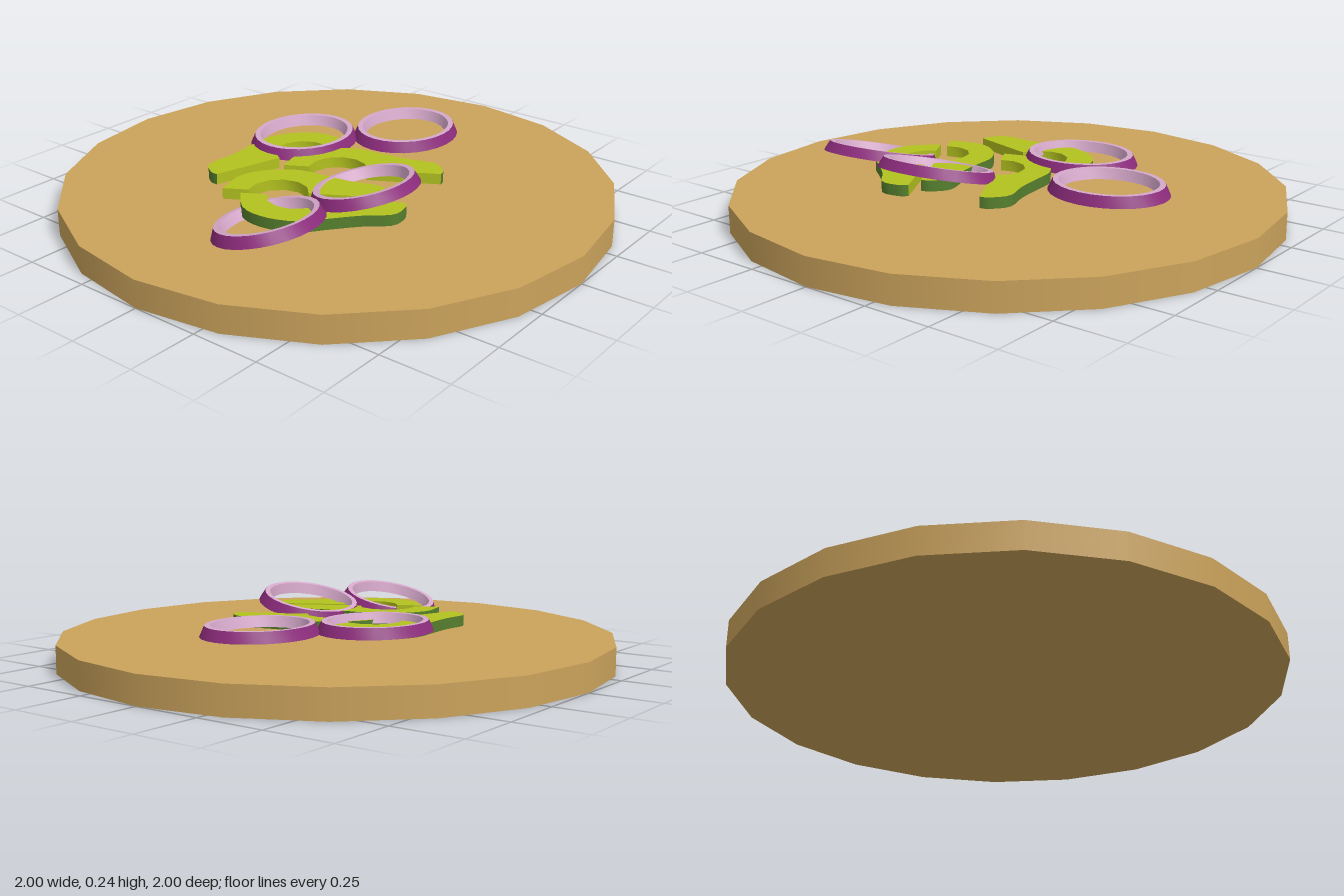
import * as THREE from 'three';
import { toCreasedNormals } from 'three/addons/utils/BufferGeometryUtils.js';

const material = (name, color, side = THREE.FrontSide) => {
  const m = new THREE.MeshStandardMaterial({ color, side });
  m.name = name;
  return m;
};
const rad = THREE.MathUtils.degToRad;

// Hooked pepper strip: curved skin edge, straight cut ends, round hollow inside
function pepperGeometry(mirror) {
  const inner = 0.105;
  const shape = new THREE.Shape();
  shape.moveTo(0.37, 0);
  shape.splineThru([
    [0.375, 0.035], [0.34, 0.1], [0.235, 0.125], [0.13, 0.165],
    [0.04, 0.198], [-0.07, 0.184], [-0.16, 0.12], [-0.197, 0],
  ].map(([x, y]) => new THREE.Vector2(x, y)));
  shape.lineTo(-inner, 0);
  shape.absarc(0, 0, inner, Math.PI, 0, true);
  const points = shape.getPoints(3).map((p) => new THREE.Vector2(p.x, mirror * p.y));

  let geo = new THREE.ExtrudeGeometry(new THREE.Shape(points), { depth: 0.04, bevelEnabled: false });
  geo.rotateX(-Math.PI / 2);
  geo = toCreasedNormals(geo, rad(40));

  // Upright faces on the outer curve get the skin, all others the flesh
  const pos = geo.attributes.position;
  geo.clearGroups();
  for (let i = 0; i < pos.count; i += 3) {
    let radius = 0, offset = 0;
    for (let k = i; k < i + 3; k++) {
      radius += Math.hypot(pos.getX(k), pos.getZ(k)) / 3;
      offset += Math.abs(pos.getZ(k)) / 3;
    }
    const a = new THREE.Vector3().fromBufferAttribute(pos, i);
    const b = new THREE.Vector3().fromBufferAttribute(pos, i + 1).sub(a);
    const c = new THREE.Vector3().fromBufferAttribute(pos, i + 2).sub(a);
    const upright = Math.abs(b.cross(c).normalize().y) < 0.5;
    geo.addGroup(i, 3, upright && radius > inner + 0.002 && offset > 0.001 ? 1 : 0);
  }
  return geo;
}

function latheFrom(profile) {
  const geo = new THREE.LatheGeometry(profile.map(([x, y]) => new THREE.Vector2(x, y)), 28);
  geo.scale(1, 1, 1.16);
  return toCreasedNormals(geo, rad(35));
}

export function createModel() {
  const wood = material('wood', 0xcba35c);
  const flesh = material('pepperFlesh', 0xb3c21f);
  const skin = material('pepperSkin', 0x567f2e);
  const purple = material('onionSkin', 0x8c2c7c, THREE.DoubleSide);
  const pink = material('onionFlesh', 0xd6a9cb, THREE.DoubleSide);

  const model = new THREE.Group();
  model.name = 'boardWithVegetables';

  // Round board
  const board = new THREE.Mesh(new THREE.CylinderGeometry(1, 1, 0.1, 20), wood);
  board.position.y = 0.05;
  board.name = 'board';
  model.add(board);

  // Pepper strips: x, z, turn in degrees, mirror
  const strips = { 1: pepperGeometry(1), '-1': pepperGeometry(-1) };
  [
    [-0.17, -0.01, -106, -1],
    [0.03, 0.035, 30, 1],
    [0, 0.325, 30, 1],
    [0.075, 0.315, 30, -1],
  ].forEach(([x, z, turn, mirror], i) => {
    const strip = new THREE.Mesh(strips[mirror], [flesh, skin]);
    strip.position.set(x, 0.121, z);
    strip.rotation.y = rad(turn);
    strip.name = `pepperStrip${i + 1}`;
    model.add(strip);
  });

  // Onion rings: purple sloped outside, pale rim, inside and underside
  const outerGeo = latheFrom([[0.19, 0], [0.174, 0.038]]);
  const innerGeo = latheFrom([[0.174, 0.038], [0.156, 0.038], [0.145, 0], [0.19, 0]]);
  [
    [-0.005, 0.147, -0.43, 0, 0],
    [-0.265, 0.147, -0.13, 0, 0],
    [0.235, 0.163, 0.14, 17, 13],
    [0.128, 0.14, 0.52, 24, 13],
  ].forEach(([x, y, z, turn, tilt], i) => {
    const ring = new THREE.Group();
    ring.name = `onionRing${i + 1}`;
    const outside = new THREE.Mesh(outerGeo, purple);
    outside.name = 'onionOutside';
    const inside = new THREE.Mesh(innerGeo, pink);
    inside.name = 'onionInside';
    ring.add(outside, inside);
    ring.position.set(x, y, z);
    ring.rotation.set(0, rad(turn), rad(tilt), 'ZYX');
    model.add(ring);
  });

  return model;
}
